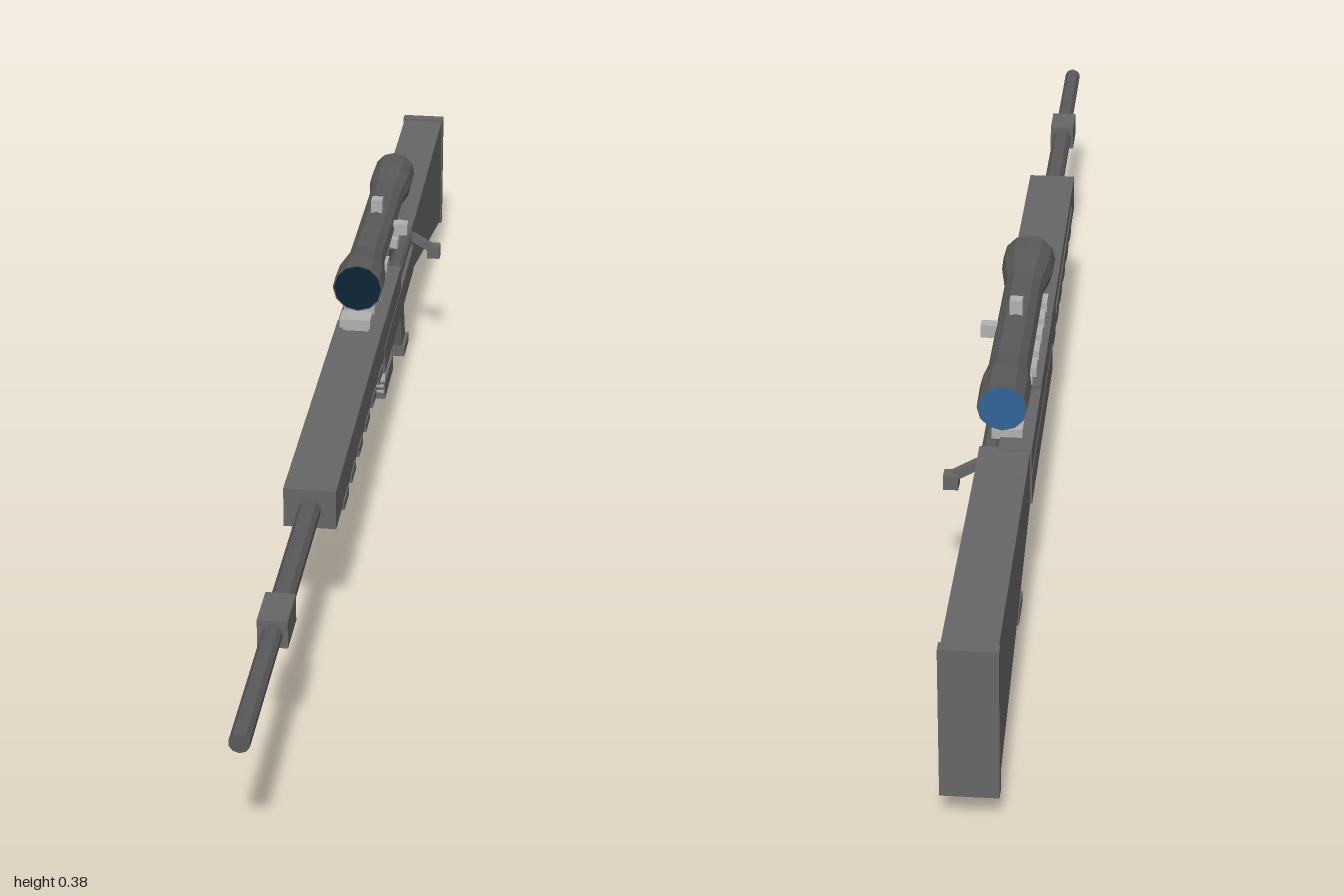
import * as THREE from 'three';

const CX = -0.023; // centre line of the rifle
const mat = (name, color, extra = {}) => {
  const m = new THREE.MeshStandardMaterial({ color, ...extra });
  m.name = name;
  return m;
};

export function createModel() {
  const body = mat('body grey', 0x666666, { flatShading: true });
  const dark = mat('dark steel', 0x5a5a5a, { flatShading: true });
  const light = mat('light metal', 0xb0b0b0, { flatShading: true });
  const frontGlass = mat('dark glass', 0x0c2433);
  const rearGlass = mat('blue glass', 0x2f6499);

  const root = new THREE.Group();
  root.name = 'rifle';
  const add = (name, geo, m, parent = root) => {
    const mesh = new THREE.Mesh(geo, m);
    mesh.name = name;
    parent.add(mesh);
    return mesh;
  };
  // box given by its limits
  const box = (name, m, x0, x1, y0, y1, z0, z1) => {
    const mesh = add(name, new THREE.BoxGeometry(x1 - x0, y1 - y0, z1 - z0), m);
    mesh.position.set((x0 + x1) / 2, (y0 + y1) / 2, (z0 + z1) / 2);
    return mesh;
  };
  // side outline of [z, y] points, extruded across x
  const slab = (name, m, pts, x0, x1) => {
    const shape = new THREE.Shape(pts.map(([z, y]) => new THREE.Vector2(-z, y)));
    const geo = new THREE.ExtrudeGeometry(shape, { depth: x1 - x0, bevelEnabled: false });
    geo.rotateY(Math.PI / 2);
    geo.translate(x0, 0, 0);
    return add(name, geo, m);
  };
  // rod along z
  const rod = (name, m, r, x, y, z0, z1, sides = 10) => {
    const geo = new THREE.CylinderGeometry(r, r, z1 - z0, sides);
    geo.rotateX(Math.PI / 2);
    geo.translate(x, y, (z0 + z1) / 2);
    return add(name, geo, m);
  };

  // barrel and sight block
  rod('barrel', dark, 0.016, CX, 0.224, 0.42, 0.72);
  rod('muzzle', dark, 0.0135, CX, 0.224, 0.72, 1);
  box('sightBlock', body, CX - 0.02, CX + 0.02, 0.203, 0.243, 0.69, 0.758);

  // handguard with ribs beneath
  box('handguard', body, -0.06, 0.014, 0.195, 0.255, -0.1, 0.44);
  for (let i = 0; i < 6; i++) {
    const z = 0.37 - i * 0.078;
    box('handguardRib', body, -0.06, 0.016, 0.186, 0.2, z - 0.043, z);
  }
  box('sideStrip', body, -0.062, -0.058, 0.222, 0.234, -0.02, 0.36);

  // receiver, cut away on the right behind the port
  slab('lowerReceiver', body,
    [[-0.1, 0.165], [-0.1, 0.21], [-0.5, 0.21], [-0.5, 0.165]], -0.061, 0.015);
  box('upperReceiver', body, -0.06, 0.014, 0.21, 0.252, -0.32, -0.1);
  box('receiverWall', body, -0.06, -0.014, 0.21, 0.248, -0.5, -0.32);
  rod('bolt', dark, 0.013, -0.001, 0.224, -0.51, -0.32);

  // bolt handle
  const handle = add('boltHandle', new THREE.BoxGeometry(0.055, 0.012, 0.014), body);
  handle.position.set(0.028, 0.217, -0.502);
  handle.rotation.z = -0.52;
  box('boltKnob', body, 0.039, 0.06, 0.19, 0.211, -0.515, -0.494);

  // stock and butt plate
  slab('stock', body,
    [[-0.49, 0.165], [-0.49, 0.247], [-0.56, 0.244], [-0.985, 0.25], [-0.985, 0.048]], -0.058, 0.012);
  box('buttPlate', body, -0.06, 0.014, 0.043, 0.254, -1, -0.983);

  // magazine
  box('magazine', light, -0.047, 0.001, 0.09, 0.17, -0.312, -0.212);
  for (const y of [0.075, 0.085, 0.095]) {
    box('magazineBand', light, -0.046, 0, y, y + 0.004, -0.25, -0.206);
  }
  box('magazineBase', body, -0.048, 0.002, 0.063, 0.092, -0.316, -0.208);

  // trigger guard, trigger and grip
  box('triggerGuardFront', body, -0.033, -0.013, 0.141, 0.168, -0.394, -0.386);
  box('triggerGuardBottom', body, -0.033, -0.013, 0.139, 0.145, -0.47, -0.386);
  box('trigger', light, -0.027, -0.019, 0.146, 0.168, -0.434, -0.427);
  slab('grip', body,
    [[-0.455, 0.142], [-0.46, 0.166], [-0.5, 0.166], [-0.505, 0.142], [-0.545, 0.015], [-0.497, 0.015]],
    CX - 0.019, CX + 0.019);
  box('gripBase', body, CX - 0.024, CX + 0.024, 0, 0.018, -0.552, -0.492);

  // top rail and scope mounts
  box('topRail', light, -0.047, -0.007, 0.252, 0.264, -0.315, -0.065);
  for (let i = 0; i < 5; i++) {
    const z = -0.062 - i * 0.053;
    box('railTooth', light, -0.052, -0.004, 0.261, 0.275, z - 0.034, z);
  }
  box('rearMountBase', light, -0.045, -0.002, 0.245, 0.26, -0.465, -0.405);
  for (const z of [-0.185, -0.435]) {
    box('scopeMount', body, CX - 0.013, CX + 0.013, 0.255, 0.312, z - 0.014, z + 0.014);
    box('mountFoot', light, CX - 0.02, CX + 0.022, 0.262, 0.278, z - 0.018, z + 0.018);
  }

  // scope: profile of [radius, z] turned about its axis
  const profile = [[0, -0.535], [0.034, -0.535], [0.035, -0.475], [0.029, -0.43],
    [0.029, -0.16], [0.038, -0.1], [0.039, -0.06], [0, -0.06]];
  const tube = new THREE.LatheGeometry(profile.map(([r, z]) => new THREE.Vector2(r, z)), 12);
  tube.rotateX(Math.PI / 2);
  tube.translate(CX, 0.331, 0);
  add('scopeTube', tube, dark);
  rod('frontLens', frontGlass, 0.0365, CX, 0.331, -0.062, -0.058, 12);
  rod('rearLens', rearGlass, 0.032, CX, 0.331, -0.537, -0.533, 12);
  box('topTurret', light, CX - 0.009, CX + 0.009, 0.355, 0.38, -0.309, -0.291);
  box('sideTurret', light, 0, 0.027, 0.321, 0.34, -0.309, -0.291);

  return root;
}
